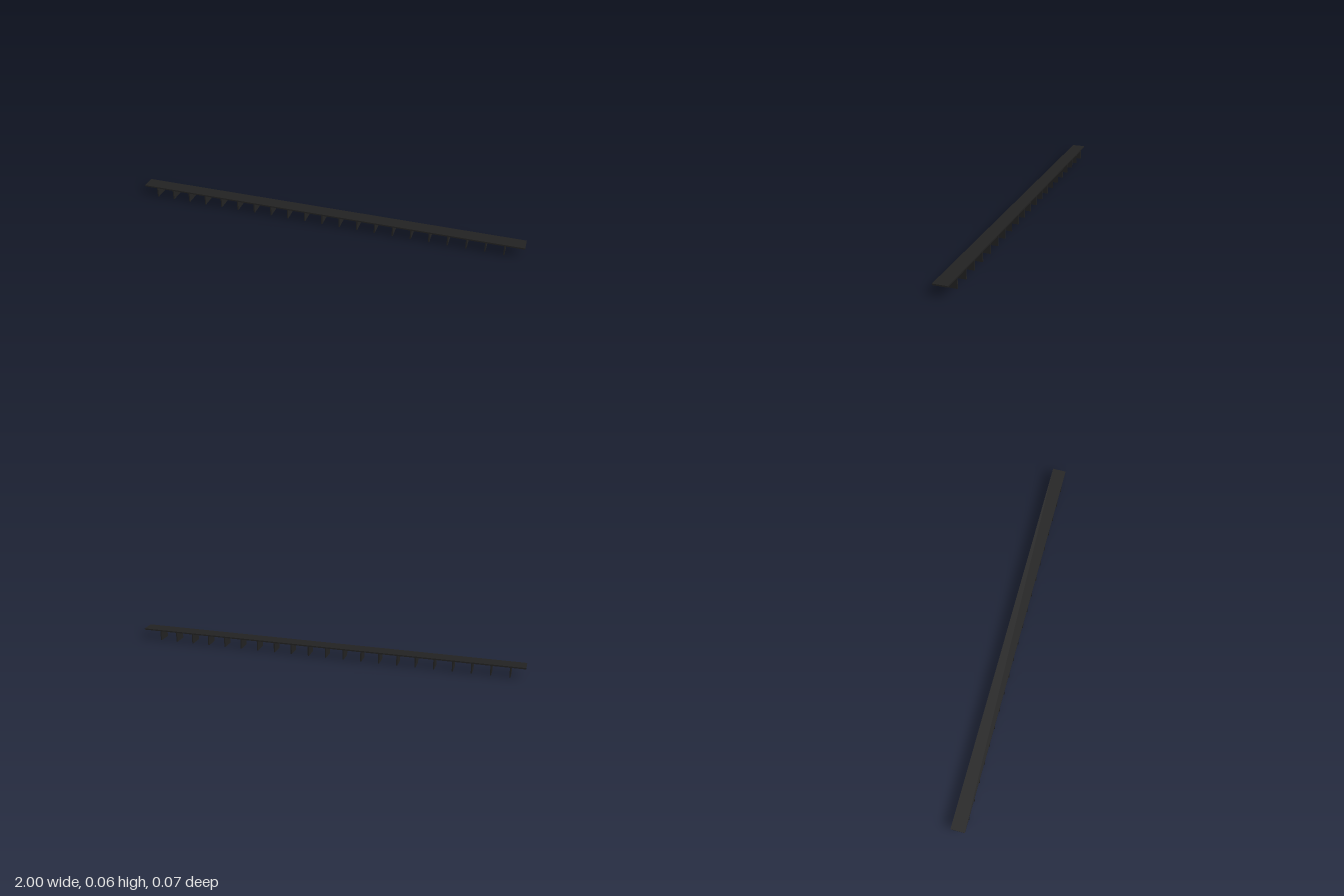
import * as THREE from 'three';

const LENGTH = 2, WIDTH = 0.07, HEIGHT = 0.057, PLATE = 0.007;
const FIN_COUNT = 21, FIN_THICKNESS = 0.006, FIRST_FIN = -0.928, LAST_FIN = 0.905;

export function createModel() {
  const group = new THREE.Group();
  group.name = 'slattedStrip';
  const material = new THREE.MeshStandardMaterial({ color: 0x222222 });

  const addBox = (name, w, h, d, x, y) => {
    const mesh = new THREE.Mesh(new THREE.BoxGeometry(w, h, d), material);
    mesh.name = name;
    mesh.position.set(x, y, 0);
    group.add(mesh);
  };

  // Long flat top plate
  addBox('topPlate', LENGTH, PLATE, WIDTH, 0, HEIGHT - PLATE / 2);

  // Row of thin cross fins hanging below the plate
  const finHeight = HEIGHT - PLATE;
  for (let i = 0; i < FIN_COUNT; i++) {
    const x = THREE.MathUtils.lerp(FIRST_FIN, LAST_FIN, i / (FIN_COUNT - 1));
    addBox(`fin${i + 1}`, FIN_THICKNESS, finHeight, WIDTH, x, finHeight / 2);
  }
  return group;
}
